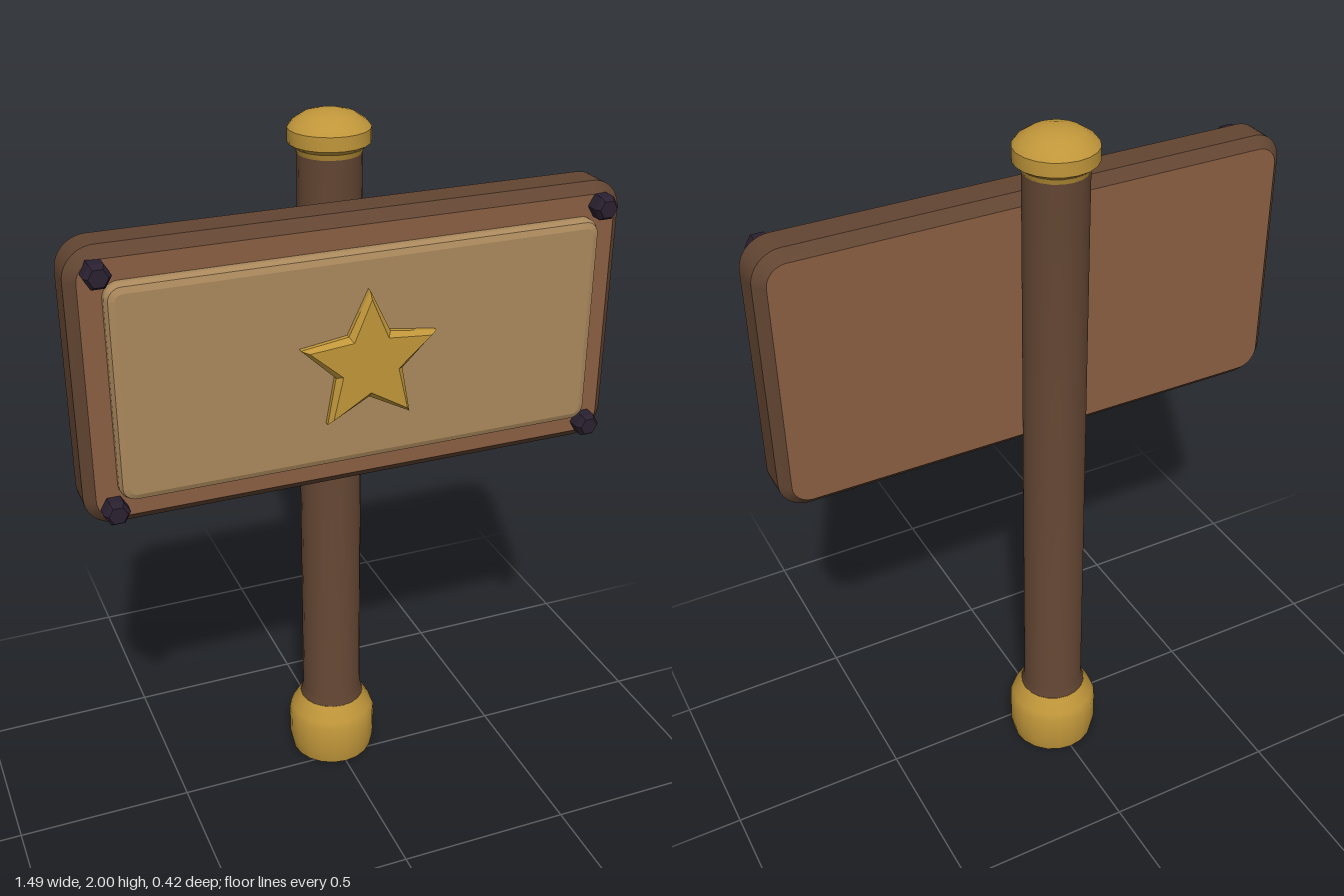
import * as THREE from 'three';
import { toCreasedNormals } from 'three/addons/utils/BufferGeometryUtils.js';

const POST_Z = -0.083;

const mat = (name, color) => {
  const m = new THREE.MeshStandardMaterial({ color });
  m.name = name;
  return m;
};

function roundedRect(w, h, r) {
  const x = w / 2, y = h / 2, s = new THREE.Shape();
  s.absarc(x - r, y - r, r, 0, Math.PI / 2);
  s.absarc(-x + r, y - r, r, Math.PI / 2, Math.PI);
  s.absarc(-x + r, -y + r, r, Math.PI, Math.PI * 1.5);
  s.absarc(x - r, -y + r, r, Math.PI * 1.5, Math.PI * 2);
  s.closePath();
  return s;
}

function star(outer, inner) {
  const pts = [];
  for (let i = 0; i < 10; i++) {
    const a = Math.PI / 2 + (i * Math.PI) / 5, r = i % 2 ? inner : outer;
    pts.push(new THREE.Vector2(Math.cos(a) * r, Math.sin(a) * r));
  }
  return new THREE.Shape(pts);
}

// Bevelled slab filling z0..z1; the bevel grows outwards from the shape
function slab(shape, z0, z1, bevel, bevelSegments, crease) {
  const g = new THREE.ExtrudeGeometry(shape, {
    depth: z1 - z0 - 2 * bevel, bevelThickness: bevel, bevelSize: bevel, bevelSegments, curveSegments: 5,
  });
  g.translate(0, 0, z0 + bevel);
  return toCreasedNormals(g, crease);
}

function lathe(profile, sides, crease) {
  const g = new THREE.LatheGeometry(profile.map(([r, y]) => new THREE.Vector2(r, y)), sides);
  return toCreasedNormals(g, crease);
}

export function createModel() {
  const group = new THREE.Group();
  group.name = 'signpost';
  const darkWood = mat('darkWood', 0x624532);
  const wood = mat('wood', 0x8b5f42);
  const tan = mat('tan', 0xaa885c);
  const gold = mat('gold', 0xc0963a);
  const iron = mat('iron', 0x2a2030);

  const add = (name, geometry, material, x = 0, y = 0, z = 0) => {
    const m = new THREE.Mesh(geometry, material);
    m.name = name;
    m.position.set(x, y, z);
    group.add(m);
    return m;
  };

  // Post with base and cap
  add('post', lathe([[0.098, 0.18], [0.095, 0.195], [0.087, 0.225], [0.085, 1.91]], 20, 0.6),
    darkWood, 0, 0, POST_Z);
  add('base', lathe([[0, 0], [0.122, 0], [0.13, 0.04], [0.13, 0.13], [0.122, 0.15], [0.096, 0.195], [0, 0.195]], 20, 0.6),
    gold, 0, 0, POST_Z);
  add('cap', lathe([[0, 1.89], [0.085, 1.89], [0.09, 1.905], [0.108, 1.918], [0.108, 1.955], [0.098, 1.968],
    [0.068, 1.988], [0.035, 1.997], [0, 2]], 20, 0.6), gold, 0, 0, POST_Z);

  // Board: lighter faces, darker rim
  add('board', slab(roundedRect(1.434, 0.69, 0.055), 0, 0.14, 0.028, 1, 0.5), [wood, darkWood], 0, 1.422, 0);

  // Raised panel
  add('panel', slab(roundedRect(1.276, 0.536, 0.02), 0.12, 0.179, 0.022, 2, 0.3), tan, 0, 1.421, 0);

  // Star emblem
  add('star', slab(star(0.175, 0.08), 0.168, 0.209, 0.014, 1, 0.3), gold, 0, 1.42, 0);

  // Corner bolts
  const bolt = lathe([[0.035, 0], [0.035, 0.04], [0.025, 0.053], [0, 0.053]], 6, 0.2);
  bolt.rotateY(Math.PI / 6);
  bolt.rotateX(Math.PI / 2);
  for (const x of [-0.673, 0.673]) {
    for (const y of [1.107, 1.737]) add('bolt', bolt, iron, x, y, 0.134);
  }
  return group;
}
